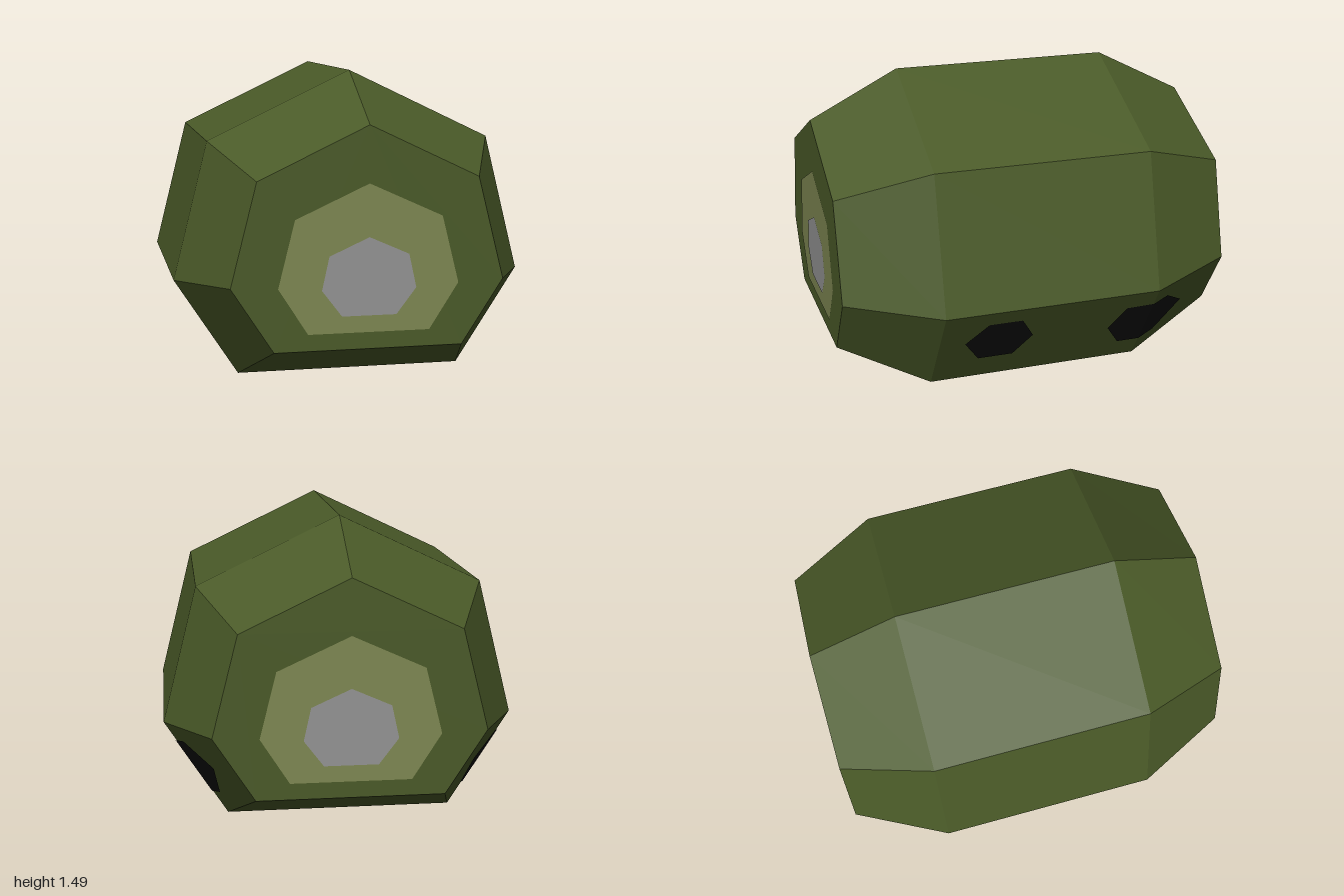
import * as THREE from 'three';

const green = new THREE.MeshStandardMaterial({ color: 0x4a5a28 });
green.name = 'olive green';
const tan = new THREE.MeshStandardMaterial({ color: 0x7e8752 });
tan.name = 'pale olive';
const grey = new THREE.MeshStandardMaterial({ color: 0x949494 });
grey.name = 'grey';
const black = new THREE.MeshStandardMaterial({ color: 0x0e0e0e });
black.name = 'black';

// Full symmetric heptagon, counter-clockwise from the top, from its left half
const heptagon = (half) => [
  ...half.map(([x, y]) => [-x, y]),
  ...half.slice(1).reverse(),
];

// Flat-faced geometry from convex polygons of [x, y, z] corners
function facets(polygons) {
  const pos = [];
  for (const p of polygons)
    for (let i = 1; i < p.length - 1; i++) pos.push(...p[0], ...p[i], ...p[i + 1]);
  const g = new THREE.BufferGeometry();
  g.setAttribute('position', new THREE.Float32BufferAttribute(pos, 3));
  g.computeVertexNormals();
  return g;
}

function add(group, name, geometry, material) {
  const mesh = new THREE.Mesh(geometry, material);
  mesh.name = name;
  group.add(mesh);
}

export function createModel() {
  const model = new THREE.Group();
  model.name = 'facetedBarrel';

  // Body: seven-sided barrel with chamfered ends
  const wide = heptagon([[0, 1.49], [0.7, 1.155], [0.87, 0.48], [0.56, 0]]);
  const narrow = heptagon([[0, 1.26], [0.525, 1.01], [0.65, 0.52], [0.45, 0.21]]);
  const at = (ring, z) => ring.map(([x, y]) => [x, y, z]);
  const rings = [at(narrow, -1), at(wide, -0.55), at(wide, 0.55), at(narrow, 1)];
  const faces = [[...rings[0]].reverse(), rings[3]];
  for (let r = 0; r < 3; r++)
    for (let i = 0; i < 7; i++) {
      const j = (i + 1) % 7;
      faces.push([rings[r][i], rings[r][j], rings[r + 1][j], rings[r + 1][i]]);
    }
  add(model, 'body', facets(faces), green);

  // Nested patches on both ends
  const outer = heptagon([[0, 0.99], [0.35, 0.83], [0.43, 0.51], [0.29, 0.29]]);
  const inner = heptagon([[0, 0.74], [0.19, 0.655], [0.225, 0.495], [0.13, 0.37]]);
  for (const s of [1, -1]) {
    const end = s > 0 ? 'front' : 'back';
    const patch = (ring, z) => {
      const p = at(ring, s * z);
      return facets([s > 0 ? p : p.reverse()]);
    };
    add(model, end + 'OuterPatch', patch(outer, 1.002), tan);
    add(model, end + 'InnerPatch', patch(inner, 1.004), grey);
  }

  // Dark spots laid on the lower side panels; corners are [z, y]
  const panelX = (y, z) => 0.565 + 0.6458 * y - 0.545 * Math.max(0, Math.abs(z) - 0.55);
  const spots = {
    FrontSpot: [
      [[0.42, 0.275], [0.33, 0.145], [0.15, 0.145], [0.07, 0.275], [0.15, 0.4], [0.32, 0.4]],
    ],
    // Folded over the chamfer edge
    BackSpot: [
      [[-0.34, 0.24], [-0.43, 0.115], [-0.55, 0.115], [-0.55, 0.385], [-0.405, 0.38]],
      [[-0.55, 0.115], [-0.645, 0.14], [-0.78, 0.305], [-0.64, 0.405], [-0.55, 0.385]],
    ],
  };
  for (const s of [1, -1])
    for (const [name, polygons] of Object.entries(spots)) {
      const laid = polygons.map((poly) => {
        const p = poly.map(([z, y]) => [s * panelX(y, z), y, z]);
        return s > 0 ? p : p.reverse();
      });
      add(model, (s > 0 ? 'left' : 'right') + name, facets(laid), black);
    }

  return model;
}
